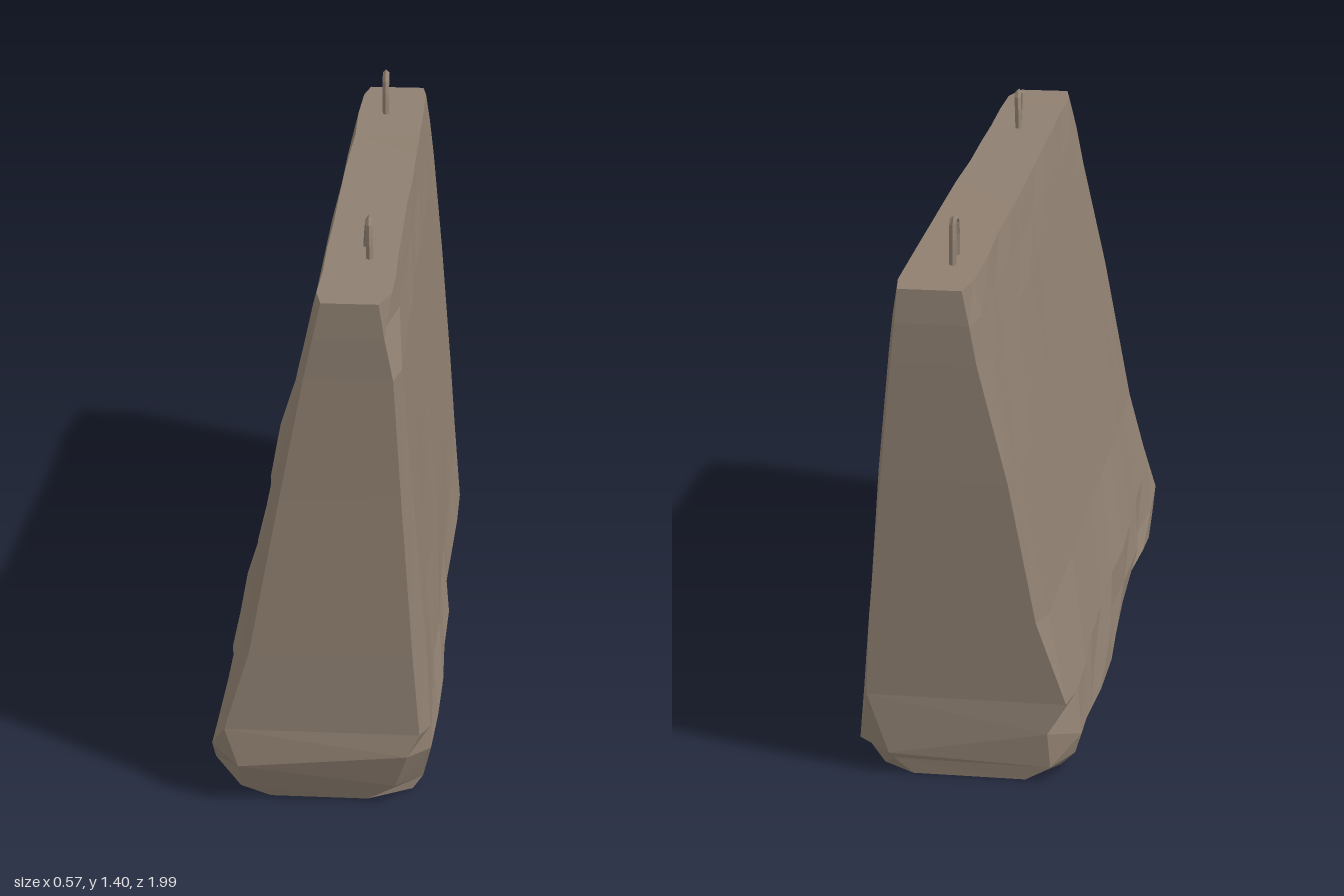
import * as THREE from 'three';

const stone = new THREE.MeshStandardMaterial({ color: 0x8e7f70 });
stone.name = 'weatheredConcrete';

// Cross-section by level: [y, left x, right x, front z, back z]
const LEVELS = [
  [0.005, -0.22, 0.215, 0.95, -0.965],
  [0.05, -0.268, 0.25, 0.97, -0.97],
  [0.12, -0.268, 0.272, 0.997, -0.975],
  [0.21, -0.26, 0.265, 0.985, -0.968],
  [0.42, -0.2, 0.25, 0.975, -0.975],
  [0.80, -0.122, 0.217, 0.955, -0.988],
  [1.10, -0.06, 0.187, 0.945, -0.99],
  [1.20, -0.038, 0.174, 0.945, -0.99],
  [1.285, -0.016, 0.163, 0.942, -0.985],
];
const STATIONS = [1, 0.92, 0.75, 0.56, 0.36, 0.15, -0.06, -0.28, -0.5, -0.72, -0.92, -1];

function seeded(seed) {
  return () => {
    seed = (seed * 16807) % 2147483647;
    return (seed / 2147483647) * 2 - 1;
  };
}

// Tapered slab lofted along z, with chipped ends and a ragged undercut base
function slabGeometry() {
  const rand = seeded(4711);
  const n = LEVELS.length;
  const last = STATIONS.length - 1;

  const corner = (s, k, side) => {
    const t = STATIONS[s];
    const [y0, xl, xr, zf, zb] = LEVELS[k];
    const cap = s === 0 || s === last;
    let x = side > 0 ? xr : xl;
    let y = y0;
    let z = t > 0 ? t * zf : -t * zb;
    // Top slopes down towards the back
    if (k > 4) y *= 1.002 + 0.032 * t;
    // Undercut grows taller towards the front on the right-hand side
    if (k === 2 && side > 0) y = 0.105 + 0.045 * t;
    const rough = k < 3 ? 0.014 : k === 3 ? 0.007 : 0.003;
    x += rand() * rough;
    if (k > 0 && k < 3) y += rand() * 0.015;
    if (!cap) z += rand() * (k < 4 ? 0.03 : 0.012);
    // Ends pull in so the vertical edges are bevelled
    if (cap) x += -side * ((k < 3 ? 0.065 : 0.02) + 0.008 * rand());
    if (cap && k === 0) x -= side * 0.02;
    // Shallow dent and upper corner chip
    if (side > 0 && s === 3 && k === 4) x -= 0.015;
    if (side > 0 && s === 1 && k === 7) x -= 0.035;
    if (side > 0 && s === 0 && k === 7) x -= 0.01;
    return [x, y, z];
  };

  const rings = STATIONS.map((_, s) => {
    const right = LEVELS.map((_, k) => corner(s, k, 1));
    const left = LEVELS.map((_, k) => corner(s, k, -1));
    return [...right, ...left.reverse()];
  });

  const pos = [];
  const quad = (a, b, c, d) => pos.push(...a, ...b, ...c, ...a, ...c, ...d);
  const count = 2 * n;
  for (let s = 0; s < last; s++) {
    for (let i = 0; i < count; i++) {
      const j = (i + 1) % count;
      quad(rings[s][i], rings[s + 1][i], rings[s + 1][j], rings[s][j]);
    }
  }
  // End faces, strip by strip
  for (let k = 0; k < n - 1; k++) {
    const l = count - 1 - k;
    const f = rings[0];
    const b = rings[last];
    quad(f[k], f[k + 1], f[l - 1], f[l]);
    quad(b[l], b[l - 1], b[k + 1], b[k]);
  }
  const geo = new THREE.BufferGeometry();
  geo.setAttribute('position', new THREE.Float32BufferAttribute(pos, 3));
  geo.computeVertexNormals();
  return geo;
}

// Lifting loop: angular bar through a few points
function loopGeometry(points) {
  const path = new THREE.CurvePath();
  const v = points.map((p) => new THREE.Vector3(...p));
  for (let i = 0; i < v.length - 1; i++) path.add(new THREE.LineCurve3(v[i], v[i + 1]));
  const geo = new THREE.TubeGeometry(path, 18, 0.009, 4, false).toNonIndexed();
  geo.computeVertexNormals();
  return geo;
}

export function createModel() {
  const model = new THREE.Group();
  model.name = 'concreteBarrier';
  const add = (name, geo) => {
    const mesh = new THREE.Mesh(geo, stone);
    mesh.name = name;
    model.add(mesh);
  };

  add('slab', slabGeometry());
  add('frontLiftingLoop', loopGeometry([
    [0.095, 1.29, 0.608], [0.092, 1.36, 0.595], [0.09, 1.4, 0.58],
    [0.088, 1.395, 0.535], [0.083, 1.35, 0.515], [0.08, 1.29, 0.503],
  ]));
  add('backLiftingLoop', loopGeometry([
    [0.06, 1.23, -0.698], [0.058, 1.31, -0.702], [0.057, 1.355, -0.718],
    [0.056, 1.362, -0.76], [0.055, 1.31, -0.776], [0.053, 1.23, -0.785],
  ]));
  return model;
}
